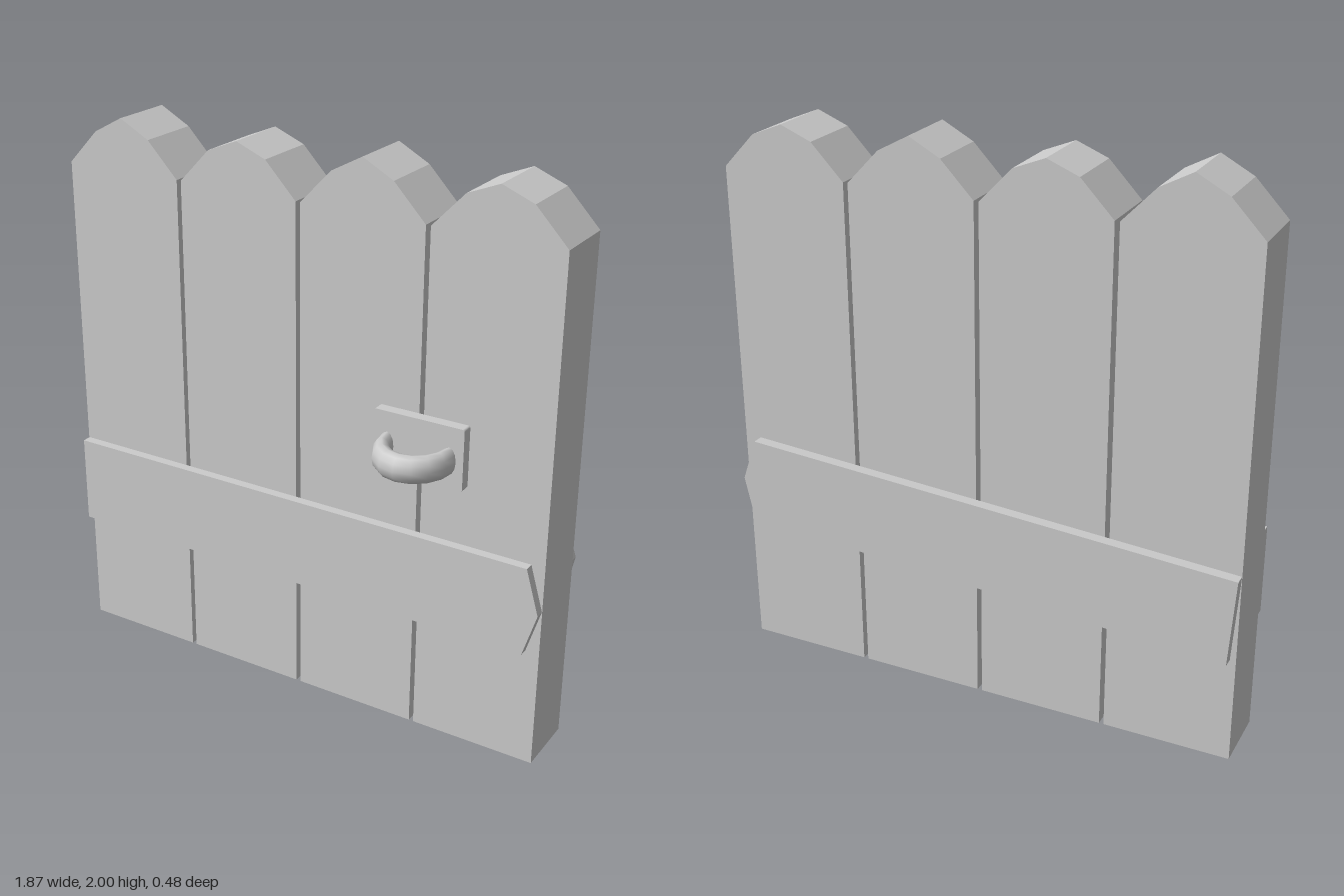
import * as THREE from 'three';
import { ParametricGeometry } from 'three/addons/geometries/ParametricGeometry.js';

const grey = new THREE.MeshStandardMaterial({ color: 0xcccccc });

// Flat board: outline in x/y, extruded from z0 to z1
function board(name, shape, z0, z1) {
  const geo = new THREE.ExtrudeGeometry(shape, { depth: z1 - z0, bevelEnabled: false, curveSegments: 3 });
  geo.translate(0, 0, z0);
  const mesh = new THREE.Mesh(geo, grey);
  mesh.name = name;
  return mesh;
}

const outline = (points) => new THREE.Shape(points.map(([x, y]) => new THREE.Vector2(x, y)));

// Cross rail with a pointed end on +x, centred on its own height
function railShape(left, shoulder, tip, half) {
  return outline([[left, -half], [shoulder, -half], [tip, 0], [shoulder, half], [left, half]]);
}

function roundedRect(x0, y0, x1, y1, r) {
  const s = new THREE.Shape();
  s.absarc(x1 - r, y0 + r, r, -Math.PI / 2, 0);
  s.absarc(x1 - r, y1 - r, r, 0, Math.PI / 2);
  s.absarc(x0 + r, y1 - r, r, Math.PI / 2, Math.PI);
  s.absarc(x0 + r, y0 + r, r, Math.PI, Math.PI * 1.5);
  return s;
}

export function createModel() {
  const gate = new THREE.Group();
  gate.name = 'gate';

  // Four upright planks with faceted tops, peaks alternating in height
  const planks = new THREE.Group();
  planks.name = 'planks';
  const half = 0.227;
  for (let i = 0; i < 4; i++) {
    const x = -0.707 + i * 0.471;
    const peak = i % 2 ? 1.985 : 2;
    planks.add(board('plank', outline([
      [x - half, 0], [x + half, 0], [x + half, 1.82], [x + 0.112, 1.94],
      [x, peak], [x - 0.112, 1.94], [x - half, 1.82],
    ]), -0.2, 0.032));
  }
  gate.add(planks);

  // Level rail in front, slightly tilted rail behind
  const frontRail = board('frontRail', railShape(-0.932, 0.884, 0.932, 0.162), 0.032, 0.066);
  frontRail.position.y = 0.597;
  const backRail = board('backRail', railShape(-0.925, 0.885, 0.93, 0.16), -0.24, -0.2);
  backRail.position.y = 0.61;
  backRail.rotation.z = 0.065;
  gate.add(frontRail, backRail);

  // Handle: backing plate and a half-ring grip, thicker towards its middle
  const handle = new THREE.Group();
  handle.name = 'handle';
  handle.add(board('handlePlate', roundedRect(0.317, 0.97, 0.645, 1.19, 0.008), 0.032, 0.072));
  const gripGeo = new ParametricGeometry((u, v, p) => {
    const a = u * Math.PI, b = v * Math.PI * 2;
    const bow = Math.sin(a);
    const off = (0.025 + 0.0135 * bow) * Math.cos(b);
    p.set(Math.cos(a) * (0.1135 + off), -0.048 * Math.sin(b), bow * (0.13 + off));
  }, 8, 12);
  const grip = new THREE.Mesh(gripGeo, grey);
  grip.name = 'handleGrip';
  grip.position.set(0.48, 1.07, 0.071);
  handle.add(grip);
  gate.add(handle);

  return gate;
}
